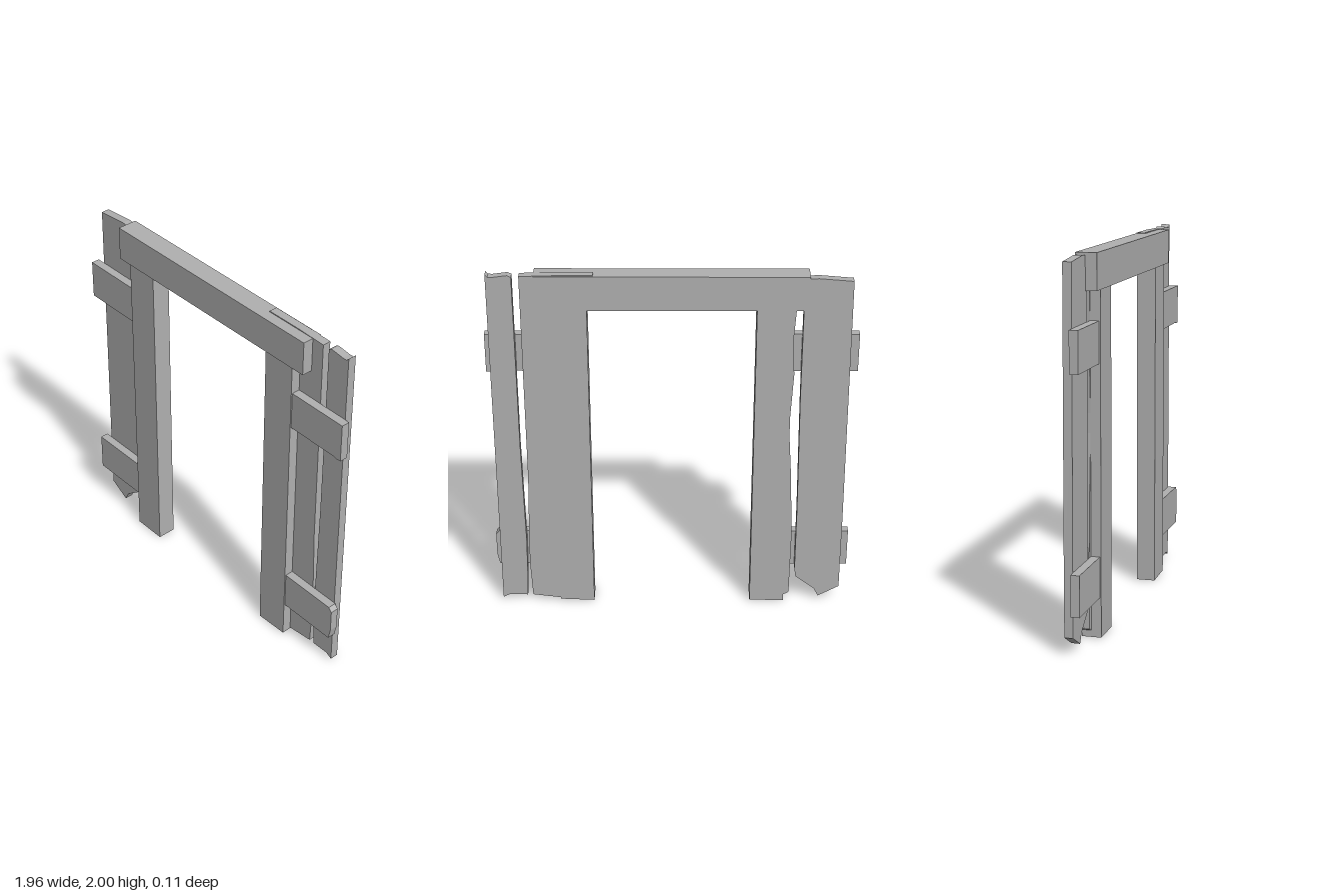
import * as THREE from 'three';

export function createModel() {
  const model = new THREE.Group();
  model.name = 'doorFrame';
  const wood = new THREE.MeshStandardMaterial({ color: 0xb0b0b0 });
  wood.name = 'plainGrey';

  // A board cut to an outline in x and y, filling back to front in z
  function board(name, outline, back, front) {
    const shape = new THREE.Shape(outline.map(([x, y]) => new THREE.Vector2(x, y)));
    const geometry = new THREE.ExtrudeGeometry(shape, { depth: front - back, bevelEnabled: false });
    geometry.translate(0, 0, back);
    const mesh = new THREE.Mesh(geometry, wood);
    mesh.name = name;
    model.add(mesh);
  }
  const rect = (x0, x1, y0, y1) => [[x0, y0], [x1, y0], [x1, y1], [x0, y1]];

  // Square beams
  board('header', rect(-0.708, 0.705, 1.802, 1.99), -0.055, 0.056);
  board('rightPost', rect(-0.63, -0.44, 0.004, 1.802), -0.055, 0.05);
  board('leftPost', [[0.435, 0.002], [0.625, 0.01], [0.625, 1.802], [0.435, 1.802]], -0.055, 0.05);

  // Weathered planks behind the battens
  const plankBack = -0.049, plankFront = -0.003;
  board('rightOuterPlank', [
    [-0.94, 0.095], [-0.825, 0.03], [-0.80, 0.08], [-0.695, 0.16], [-0.688, 0.21],
    [-0.688, 0.6], [-0.68, 1.3], [-0.68, 1.975], [-0.75, 1.98], [-0.93, 1.965],
    [-0.935, 1.2], [-0.94, 0.5],
  ], plankBack, plankFront);
  board('rightInnerPlank', [
    [-0.655, 0.05], [-0.62, 0.035], [-0.5, 0.03], [-0.5, 1.95], [-0.643, 1.95],
    [-0.643, 1.8], [-0.633, 1.64], [-0.643, 1.43], [-0.627, 1.12], [-0.648, 0.81],
    [-0.664, 0.43], [-0.66, 0.06],
  ], plankBack, plankFront);
  board('leftInnerPlank', [
    [0.45, 0.015], [0.62, 0.015], [0.78, 0.036], [0.79, 0.25], [0.787, 0.45],
    [0.777, 0.8], [0.777, 1.99], [0.6, 1.995], [0.4, 1.995], [0.4, 1.83], [0.45, 1.81],
  ], plankBack, plankFront);
  board('leftOuterPlank', [
    [0.81, 0.035], [0.91, 0.038], [0.948, 0.018], [0.948, 2], [0.935, 1.985],
    [0.91, 1.985], [0.835, 1.995], [0.815, 1.985], [0.812, 1.0], [0.802, 0.4], [0.805, 0.2],
  ], plankBack, plankFront);

  // Crosswise battens
  const battenBack = -0.003, battenFront = 0.043;
  board('rightUpperBatten', rect(-0.98, -0.6, 1.43, 1.645), battenBack, battenFront);
  board('rightLowerBatten', rect(-0.98, -0.6, 0.217, 0.433), battenBack, battenFront);
  board('leftUpperBatten', [
    [0.6, 1.43], [0.92, 1.43], [0.95, 1.424], [0.975, 1.426], [0.975, 1.642], [0.6, 1.642],
  ], battenBack, battenFront);
  board('leftLowerBatten', [
    [0.6, 0.217], [0.962, 0.217], [0.975, 0.28], [0.975, 0.41], [0.955, 0.433], [0.6, 0.433],
  ], battenBack, battenFront);

  return model;
}
